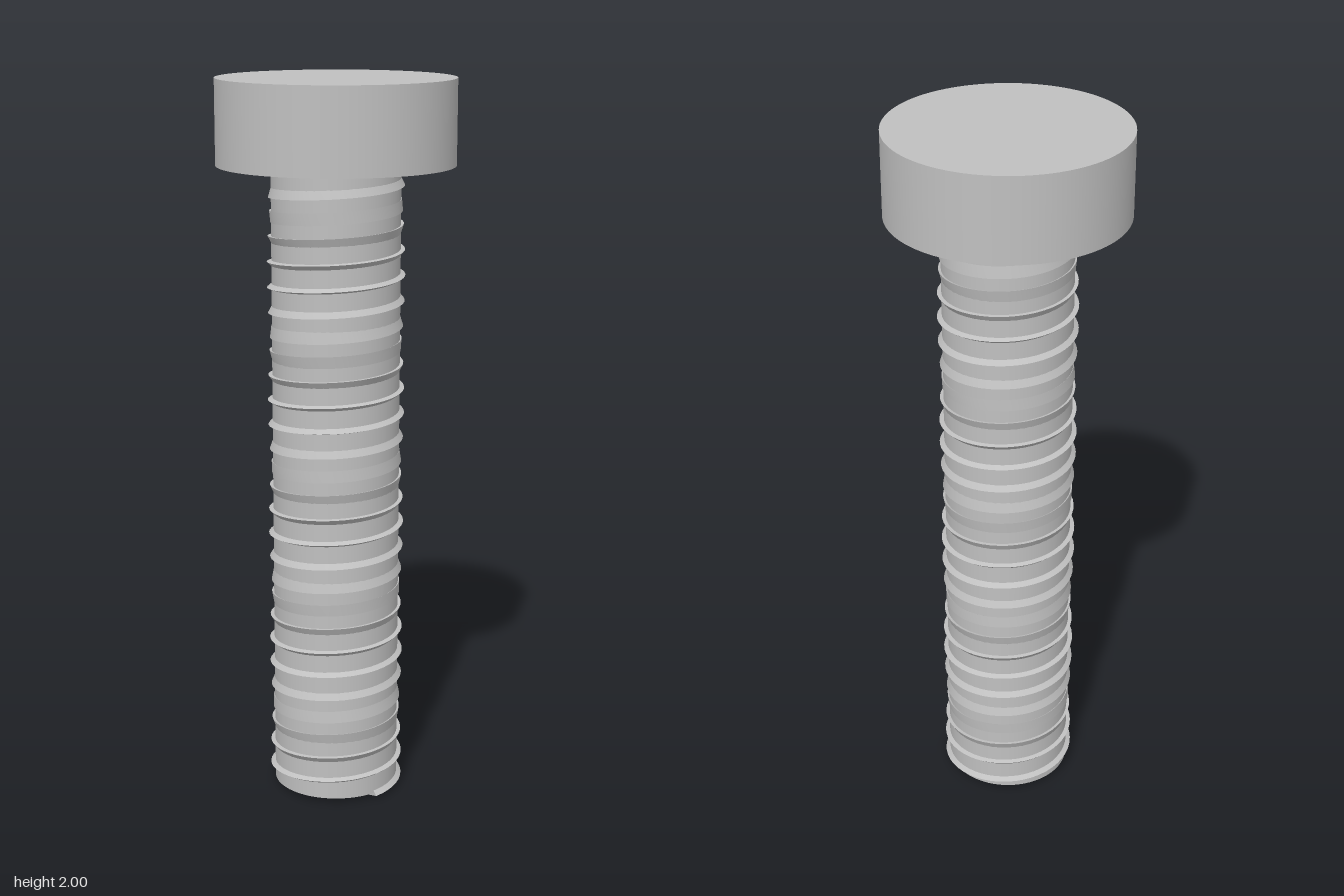
import * as THREE from 'three';

const SHAFT_R = 0.175, HEAD_R = 0.322;
const PITCH = 0.0633, TURNS = 28, STEPS = 48;   // thread helix
const PATH_R = 0.169, RIDGE = 0.019, BASE = 0.01; // triangular ridge

const steel = new THREE.MeshStandardMaterial({ color: 0xc0c0c0 });
steel.name = 'steel grey';

function addCylinder(group, name, radius, y0, y1) {
  const mesh = new THREE.Mesh(new THREE.CylinderGeometry(radius, radius, y1 - y0, 96), steel);
  mesh.name = name;
  mesh.position.y = (y0 + y1) / 2;
  group.add(mesh);
}

// Triangle corner k of the ridge at turn fraction u; the triangle slowly twists along the helix
function corner(u, k) {
  const t = u * Math.PI * 2;
  const y = BASE + u * PITCH;
  const a = ((y - 1.65) / 0.354 + 0.5 + k) * Math.PI * 2 / 3;
  const r = PATH_R + RIDGE * Math.cos(a);
  return [r * Math.cos(t), y + RIDGE * Math.sin(a), -r * Math.sin(t)];
}

// Helical ridge: three separate strips keep the edges sharp, plus two end caps
function threadGeometry() {
  const pos = [], index = [];
  const n = TURNS * STEPS;
  for (let k = 0; k < 3; k++) {
    const start = pos.length / 3;
    for (let i = 0; i <= n; i++) {
      pos.push(...corner(i / STEPS, k), ...corner(i / STEPS, k + 1));
      if (i === n) continue;
      const a = start + i * 2;
      index.push(a, a + 2, a + 1, a + 1, a + 2, a + 3);
    }
  }
  for (const [u, order] of [[0, [0, 1, 2]], [TURNS, [2, 1, 0]]]) {
    for (const k of order) {
      index.push(pos.length / 3);
      pos.push(...corner(u, k));
    }
  }
  const geo = new THREE.BufferGeometry();
  geo.setAttribute('position', new THREE.Float32BufferAttribute(pos, 3));
  geo.setIndex(index);
  geo.computeVertexNormals();
  return geo;
}

export function createModel() {
  const bolt = new THREE.Group();
  bolt.name = 'bolt';
  addCylinder(bolt, 'head', HEAD_R, 1.77, 2);
  addCylinder(bolt, 'shaft', SHAFT_R, BASE, 1.77);
  const thread = new THREE.Mesh(threadGeometry(), steel);
  thread.name = 'thread';
  bolt.add(thread);
  return bolt;
}
